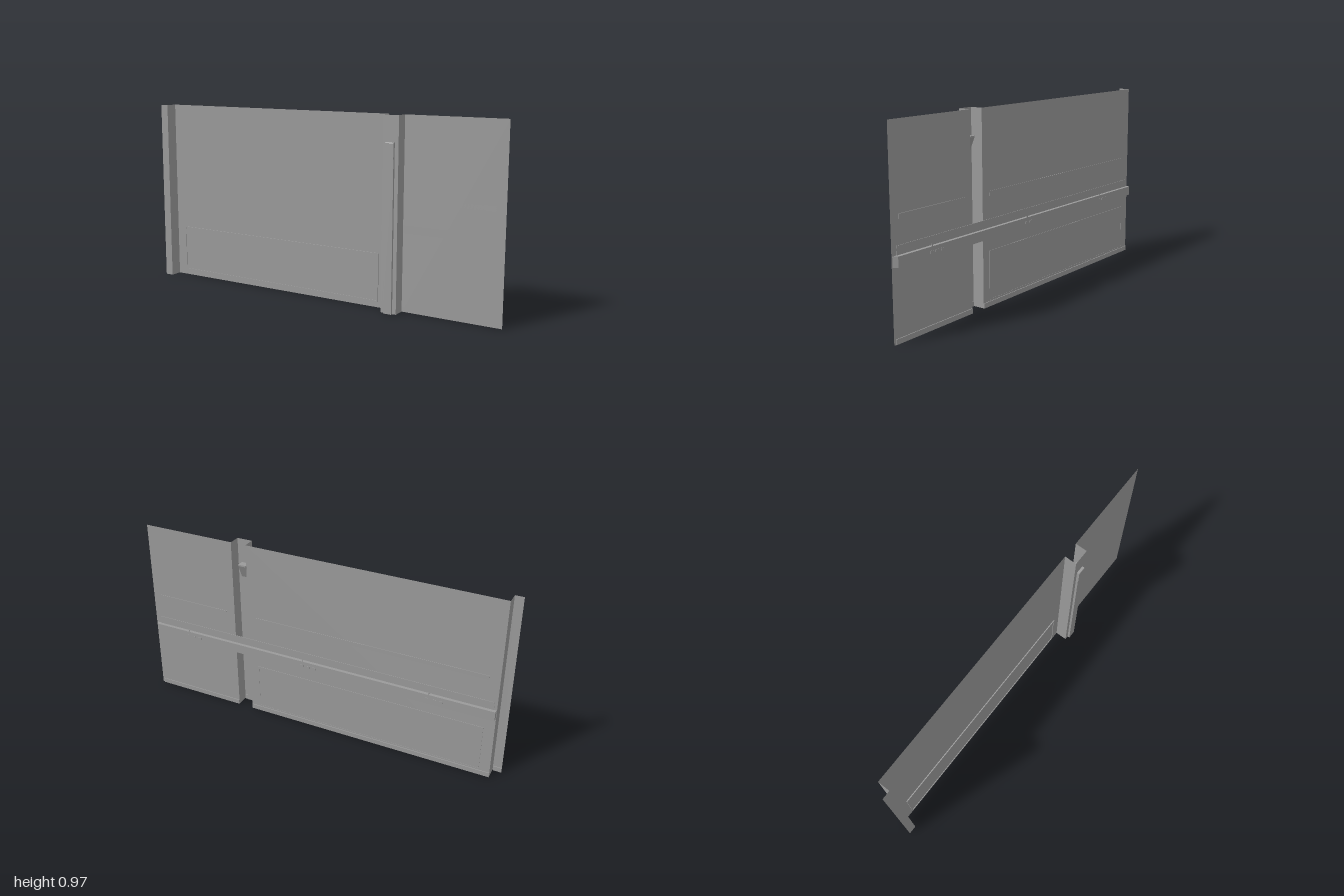
import * as THREE from 'three';

const material = new THREE.MeshStandardMaterial({ color: 0x9a9a9a, flatShading: true, side: THREE.DoubleSide });

export function createModel() {
  const group = new THREE.Group();

  const add = (name, geometry) => {
    const mesh = new THREE.Mesh(geometry, material);
    mesh.name = name;
    group.add(mesh);
    return mesh;
  };

  // Box given by its limits on each axis
  const box = (name, x0, x1, y0, y1, z0, z1) => {
    const mesh = add(name, new THREE.BoxGeometry(x1 - x0, y1 - y0, z1 - z0));
    mesh.position.set((x0 + x1) / 2, (y0 + y1) / 2, (z0 + z1) / 2);
  };

  // Thin upright sheet folded along [x, z] points
  const foldedSheet = (name, points, y0, y1) => {
    const pos = [], index = [];
    points.forEach(([x, z], i) => {
      pos.push(x, y0, z, x, y1, z);
      const a = i * 2;
      if (i) index.push(a - 2, a, a + 1, a - 2, a + 1, a - 1);
    });
    const g = new THREE.BufferGeometry();
    g.setAttribute('position', new THREE.Float32BufferAttribute(pos, 3));
    g.setIndex(index);
    const flat = g.toNonIndexed();
    flat.computeVertexNormals();
    add(name, flat);
  };

  const extrude = (points, depth) => new THREE.ExtrudeGeometry(
    new THREE.Shape(points.map(([a, b]) => new THREE.Vector2(a, b))), { depth, bevelEnabled: false });

  // Side profile of [z, y] points swept along x
  const sweep = (name, profile, x0, x1) =>
    add(name, extrude(profile.map(([z, y]) => [-z, y]), x1 - x0).rotateY(Math.PI / 2).translate(x0, 0, 0));

  // Plan outline of [x, z] points raised along y
  const raise = (name, plan, y0, y1) =>
    add(name, extrude(plan.map(([x, z]) => [x, -z]), y1 - y0).rotateX(-Math.PI / 2).translate(0, y0, 0));

  // Wall sheet with an end flange and a channel standing forward
  const back = -0.027, front = 0.037;
  foldedSheet('wallSheet', [[-1, front], [-0.955, front], [-0.955, back], [0.397, back],
    [0.397, front], [0.482, front], [0.482, back], [1, back]], 0, 0.973);

  // Sill strips along the foot of the wall
  box('sill', -0.955, 0.397, 0, 0.025, -0.031, back);
  box('sill', 0.482, 0.99, 0, 0.025, -0.031, back);
  box('flangeSill', -1, -0.957, 0, 0.025, front - 0.004, front);
  box('channelSill', 0.4, 0.479, 0, 0.025, front - 0.004, front);

  // Batten on the channel, with a hood whose back tapers down
  box('batten', 0.418, 0.462, 0, 0.77, 0.031, 0.049);
  sweep('battenHood', [[0, 0.843], [0, 0.835], [0.031, 0.765], [0.051, 0.765],
    [0.051, 0.84], [0.049, 0.843]], 0.418, 0.462);

  // Low panel set into the wall, framed on the front
  box('lowerPanel', -0.9, 0.35, 0.03, 0.28, -0.0285, -0.025);
  for (const y of [0.03, 0.274]) box('panelTrim', -0.9, 0.35, y, y + 0.006, -0.0295, -0.022);
  for (const x of [-0.9, 0.344]) box('panelTrim', x, x + 0.006, 0.036, 0.274, -0.0295, -0.022);

  // Shallow ledges on the back
  box('backLedge', -0.9, 0.35, 0.55, 0.573, -0.0295, back);
  box('backLedge', 0.53, 0.95, 0.55, 0.573, -0.0295, back);

  // Horizontal rail on the back with a mitred end, and its fixing strip
  raise('rail', [[-0.953, back], [0.995, back], [0.98, -0.047], [-0.953, -0.047]], 0.345, 0.395);
  box('railStrip', -0.94, 0.97, 0.395, 0.437, -0.0295, back);

  // Small clips on the rail
  for (const x of [-0.62, 0.07, 0.77]) {
    box('clipPin', x - 0.003, x + 0.003, 0.378, 0.408, -0.048, -0.046);
    for (const dx of [-0.065, -0.03, 0.005]) {
      box('clipTab', x + dx - 0.01, x + dx + 0.01, 0.364, 0.376, -0.049, -0.047);
    }
  }

  return group;
}
